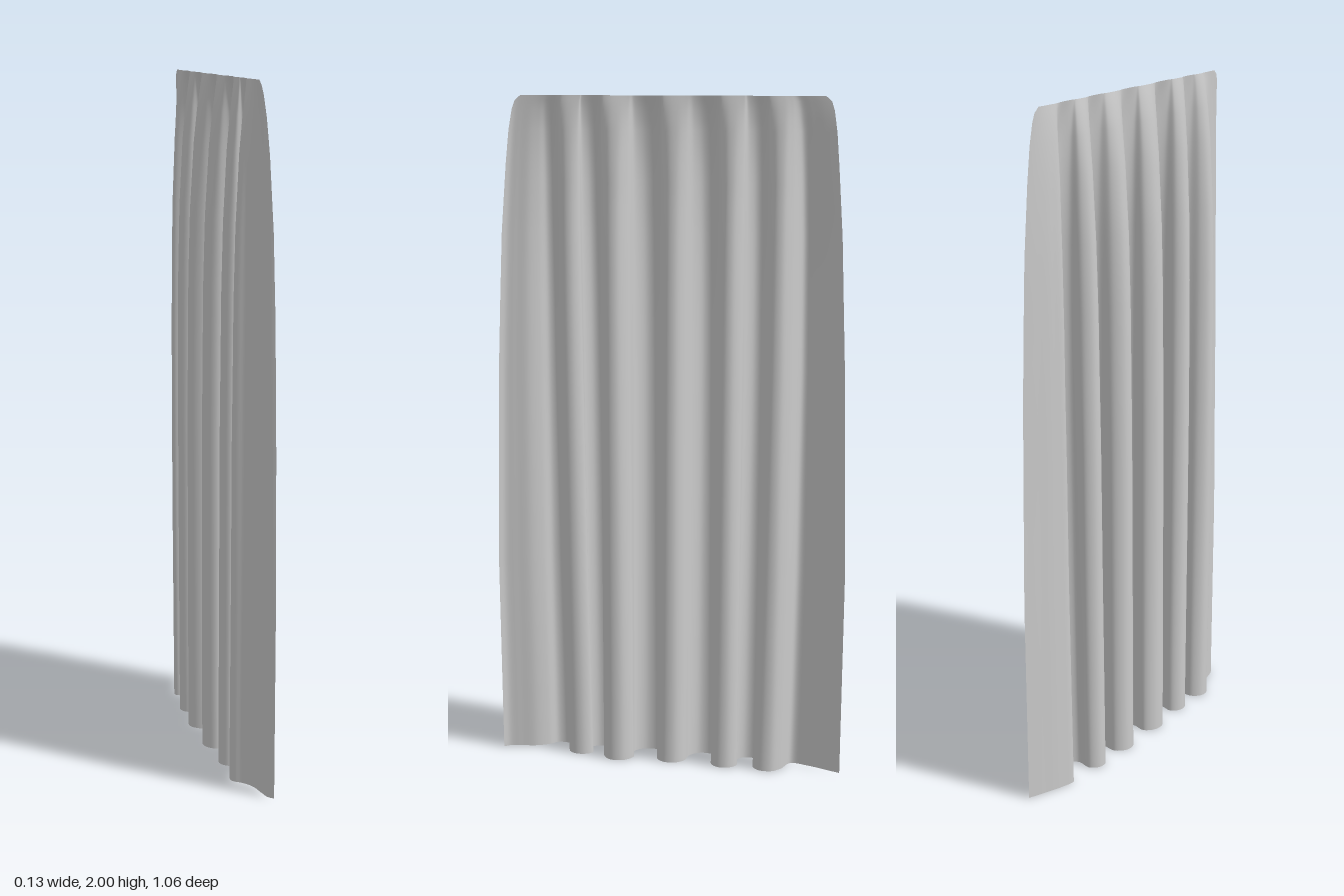
import * as THREE from 'three';

// Height tables: [y, value], linear between entries
const EDGE = [[0, 0.525], [0.6, 0.532], [1.2, 0.522], [1.6, 0.508], [1.8, 0.495], [1.9, 0.487], [1.96, 0.478], [1.985, 0.47], [2, 0.453]];
const DEPTH = [[0, 1], [1, 0.99], [1.4, 0.92], [1.6, 0.82], [1.8, 0.6], [1.9, 0.4], [1.96, 0.22], [2, 0.06]];
const ROWS = [0, 0.2, 0.4, 0.6, 0.8, 1, 1.2, 1.3, 1.4, 1.5, 1.6, 1.68, 1.75, 1.8, 1.85, 1.9, 1.93, 1.96, 1.985, 2];
const MID = -0.008;

function lookup(table, y) {
  let i = 1;
  while (i < table.length - 1 && table[i][0] < y) i++;
  const [y0, a] = table[i - 1], [y1, b] = table[i];
  return a + (b - a) * (y - y0) / (y1 - y0);
}

// Hem line seen from above: flat side flaps with rounded folds between them
function hemCurve() {
  // [centre z, half width, outermost x]
  const folds = [
    [-0.305, 0.043, 0.047], [-0.238, 0.036, -0.058], [-0.172, 0.04, 0.048],
    [-0.097, 0.043, -0.065], [-0.005, 0.042, 0.043], [0.072, 0.047, -0.064],
    [0.157, 0.046, 0.062], [0.225, 0.036, -0.055], [0.28, 0.038, 0.034],
    [0.357, 0.038, -0.057],
  ];
  const pts = [[-0.53, 0.01], [-0.48, -0.01], [-0.42, -0.032], [-0.37, -0.04]];
  for (const [z, w, x] of folds) {
    const d = x - MID;
    pts.push([z - w, MID + d * 0.45], [z - w * 0.45, MID + d * 0.93],
      [z + w * 0.4, MID + d * 0.95], [z + w, MID + d * 0.45]);
  }
  pts.push([0.43, -0.008], [0.48, 0.003], [0.515, 0.012], [0.53, 0.026]);
  return new THREE.CatmullRomCurve3(pts.map(([z, x]) => new THREE.Vector3(x, 0, z)), false, 'centripetal');
}

function curtainGeometry() {
  const cols = 320;
  const curve = hemCurve();
  curve.arcLengthDivisions = 1000;
  const hem = curve.getSpacedPoints(cols);
  const pos = [], index = [];
  ROWS.forEach((y, r) => {
    const depth = lookup(DEPTH, y), edge = lookup(EDGE, y) / 0.53;
    hem.forEach((p, c) => {
      // Folds spread evenly towards the gathered top
      const even = (c / cols * 2 - 1) * 0.53;
      const z = THREE.MathUtils.lerp(p.z, even, 0.55 * y / 2);
      const u = z / 0.53;
      pos.push(MID + (p.x - MID) * depth, y, z * (1 - (1 - edge) * u * u));
      if (r && c) {
        const d = r * (cols + 1) + c, b = d - cols - 1;
        index.push(b - 1, d - 1, b, b, d - 1, d);
      }
    });
  });
  const geo = new THREE.BufferGeometry();
  geo.setAttribute('position', new THREE.Float32BufferAttribute(pos, 3));
  geo.setIndex(index);
  geo.computeVertexNormals();
  return geo;
}

export function createModel() {
  const group = new THREE.Group();
  group.name = 'curtain';
  const cloth = new THREE.Mesh(curtainGeometry(),
    new THREE.MeshStandardMaterial({ color: 0xcccccc, side: THREE.DoubleSide }));
  cloth.name = 'pleatedCloth';
  group.add(cloth);
  return group;
}
